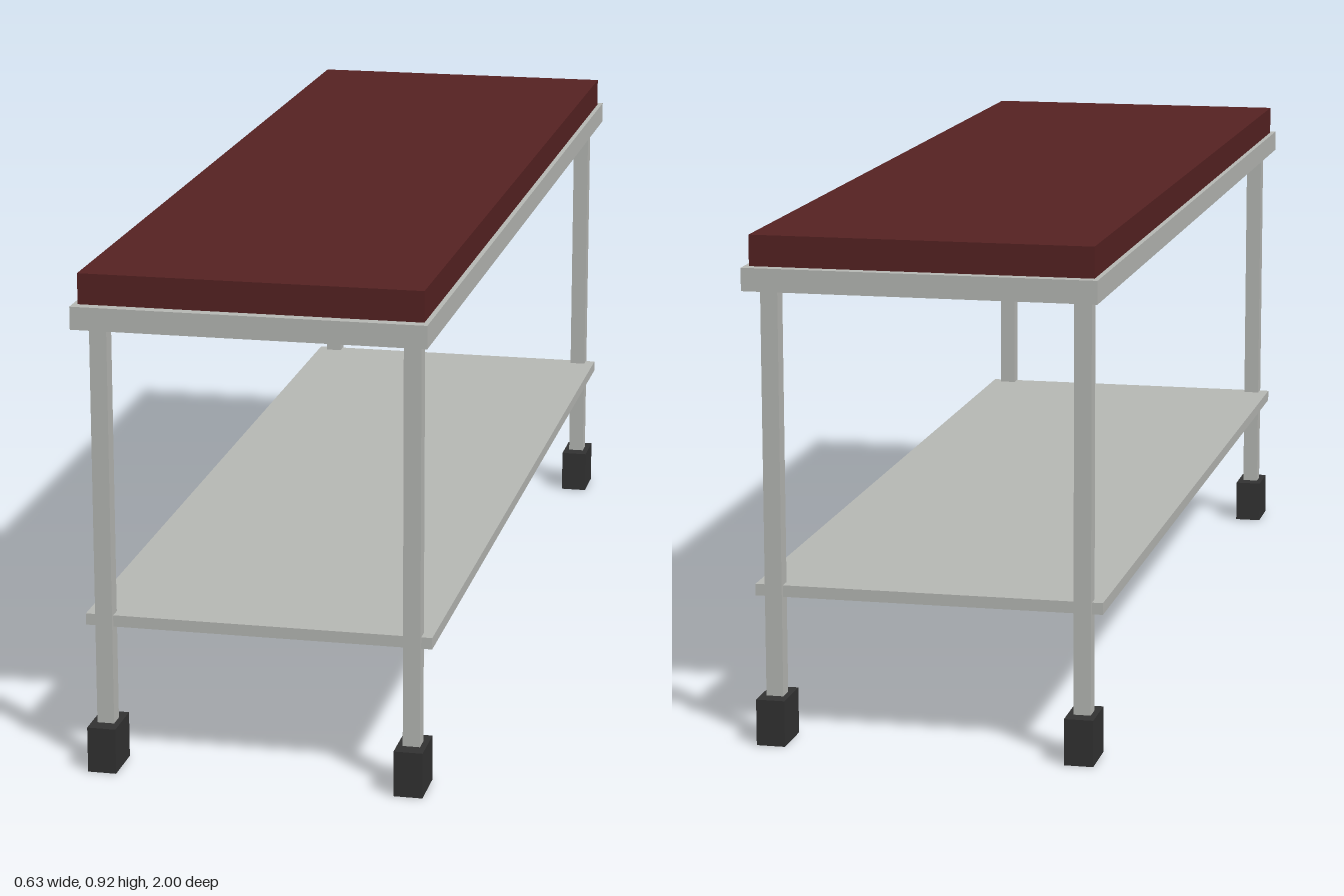
import * as THREE from 'three';

export function createModel() {
  const model = new THREE.Group();
  const metal = new THREE.MeshStandardMaterial({ name: 'pale grey metal', color: 0xb8bab6 });
  const vinyl = new THREE.MeshStandardMaterial({ name: 'dark red vinyl', color: 0x562222 });
  const rubber = new THREE.MeshStandardMaterial({ name: 'black rubber', color: 0x333333 });

  // Box resting with its underside at height y
  function box(name, material, [w, h, d], x, y, z) {
    const mesh = new THREE.Mesh(new THREE.BoxGeometry(w, h, d), material);
    mesh.name = name;
    mesh.position.set(x, y + h / 2, z);
    model.add(mesh);
  }

  // Padded top on its frame, and the lower shelf
  box('mattress', vinyl, [0.61, 0.055, 1.96], 0, 0.863, 0);
  box('topFrame', metal, [0.628, 0.041, 2], 0, 0.822, 0);
  box('lowerShelf', metal, [0.628, 0.021, 1.886], 0, 0.265, 0);

  // Four legs, each on a block foot
  for (const sx of [-1, 1]) {
    for (const sz of [-1, 1]) {
      const corner = (sz > 0 ? 'front' : 'back') + (sx > 0 ? 'Left' : 'Right');
      box(corner + 'Leg', metal, [0.031, 0.738, 0.031], sx * 0.279, 0.084, sz * 0.935);
      box(corner + 'Foot', rubber, [0.052, 0.084, 0.09], sx * 0.279, 0, sz * 0.935);
    }
  }
  return model;
}
